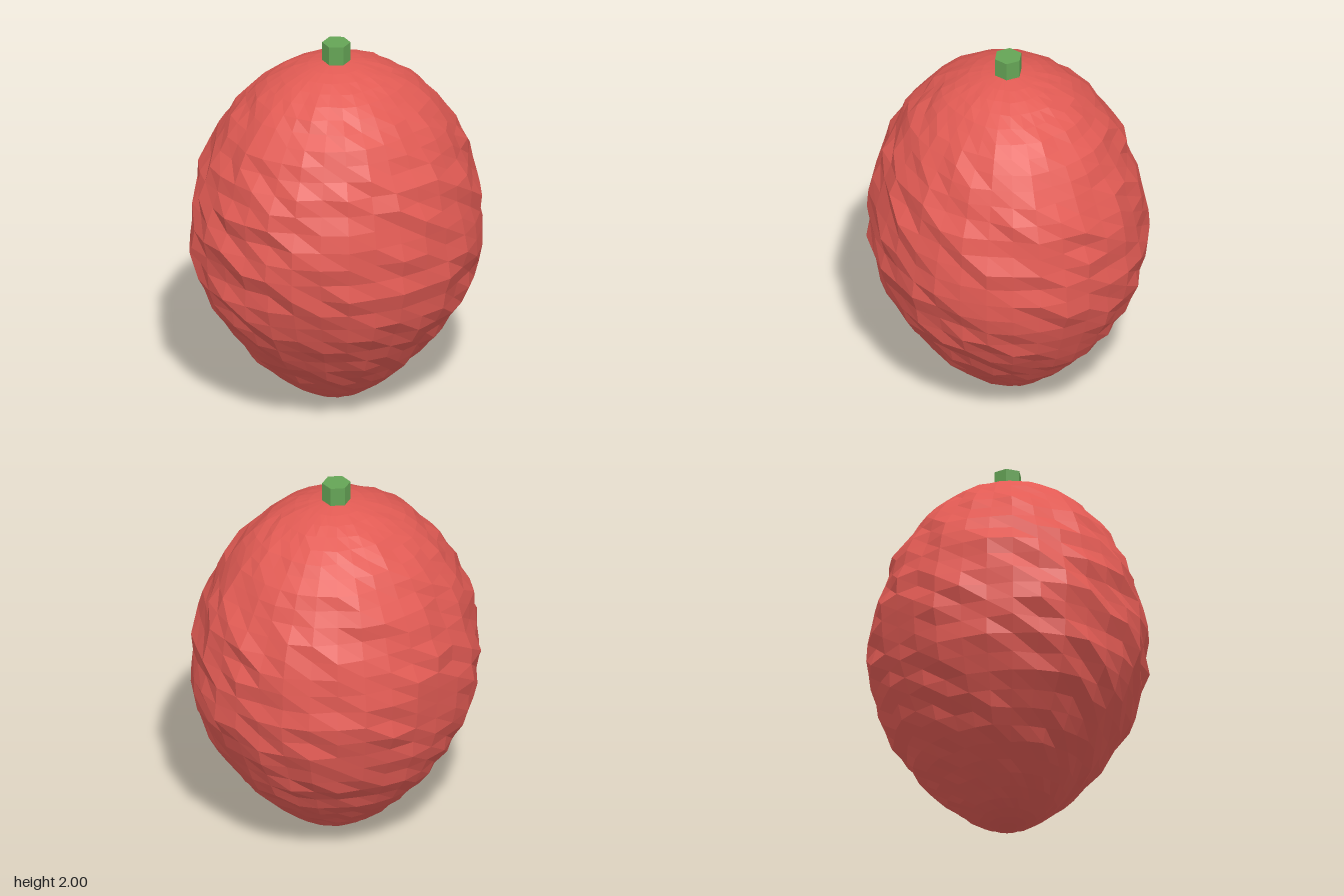
import * as THREE from 'three';

const SEG = 32;

// Repeatable noise in -1..1 for a ring and column
function noise(ring, col) {
  const s = Math.sin(ring * 127.1 + col * 311.7) * 43758.5453;
  return (s - Math.floor(s)) * 2 - 1;
}

// Egg-shaped body: a sphere narrowed towards the bottom, its rings kept level and roughened
function bodyGeometry() {
  const geo = new THREE.SphereGeometry(1, SEG, SEG);
  const pos = geo.attributes.position;
  for (let i = 0; i < pos.count; i++) {
    const ring = Math.floor(i / (SEG + 1));
    const col = (i % (SEG + 1)) % SEG;
    const y = pos.getY(i);
    const taper = y < 0 ? 1 - 0.33 * y * y : 1;
    const rough = taper * (1 + 0.032 * noise(ring, col));
    pos.setXYZ(i, pos.getX(i) * 0.765 * rough, 0.953 + y * 0.95, pos.getZ(i) * 0.703 * rough);
  }
  const flat = geo.toNonIndexed();
  flat.computeVertexNormals();
  return flat;
}

export function createModel() {
  const model = new THREE.Group();

  const body = new THREE.Mesh(
    bodyGeometry(),
    new THREE.MeshStandardMaterial({ color: 0xe25b54, flatShading: true })
  );
  body.name = 'fruitBody';

  // Six-sided stem stub
  const stem = new THREE.Mesh(
    new THREE.CylinderGeometry(0.073, 0.073, 0.13, 6),
    new THREE.MeshStandardMaterial({ color: 0x65a456, flatShading: true })
  );
  stem.name = 'stem';
  stem.position.y = 1.935;

  model.add(body, stem);
  return model;
}
